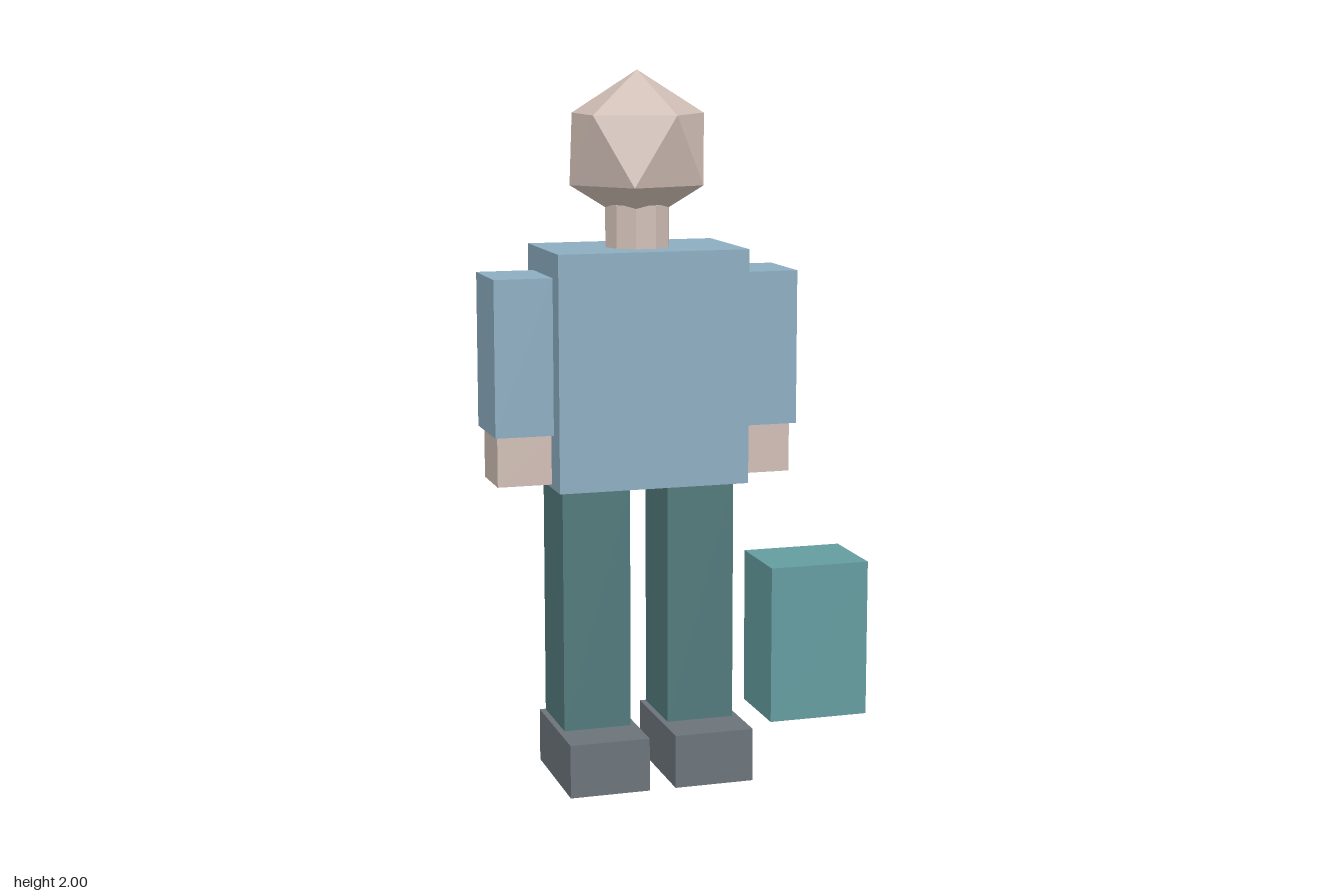
import * as THREE from 'three';

const CX = -0.113, CZ = 0.083; // body axis

const material = (color) => new THREE.MeshStandardMaterial({ color, flatShading: true });
const shirt = material(0x8cadc1);
const skin = material(0xd0beb5);
const trousers = material(0x52797b);
const shoes = material(0x6b737a);
const packCloth = material(0xd5a985);
const caseShell = material(0x649c9f);

export function createModel() {
  const model = new THREE.Group();
  model.name = 'traveller';

  const add = (name, geometry, mat, x, y, z) => {
    const mesh = new THREE.Mesh(geometry, mat);
    mesh.name = name;
    mesh.position.set(x, y, z);
    model.add(mesh);
    return mesh;
  };
  // Box given by its extents along each axis
  const box = (name, mat, [x0, x1], [y0, y1], [z0, z1]) =>
    add(name, new THREE.BoxGeometry(x1 - x0, y1 - y0, z1 - z0), mat,
      (x0 + x1) / 2, (y0 + y1) / 2, (z0 + z1) / 2);
  // Mirrored pair of boxes, x measured outward from the body axis
  const pair = (name, mat, [a, b], ys, zs) => {
    box(`left${name}`, mat, [CX + a, CX + b], ys, zs);
    box(`right${name}`, mat, [CX - b, CX - a], ys, zs);
  };

  // Head: icosahedron standing on one corner
  const head = new THREE.IcosahedronGeometry(0.218, 0);
  head.rotateZ(-Math.atan(2 / (1 + Math.sqrt(5))));
  add('head', head, skin, CX, 1.782, CZ);

  // Neck: ten-sided, corners on the x axis
  const neck = new THREE.CylinderGeometry(0.093, 0.093, 0.13, 10);
  neck.rotateY(Math.PI / 10);
  add('neck', neck, skin, CX, 1.565, CZ);

  // Body and limbs
  box('torso', shirt, [-0.386, 0.16], [0.85, 1.51], [-0.093, 0.257]);
  pair('Arm', shirt, [0.273, 0.438], [1.003, 1.44], [-0.028, 0.193]);
  pair('Hand', skin, [0.273, 0.427], [0.86, 1.003], [0.0, 0.165]);
  pair('Leg', trousers, [0.055, 0.25], [0.152, 0.85], [-0.026, 0.194]);
  pair('Shoe', shoes, [0.038, 0.267], [0, 0.152], [-0.03, 0.328]);

  // Luggage
  box('backpack', packCloth, [-0.321, 0.094], [0.883, 1.407], [-0.33, -0.093]);
  box('suitcase', caseShell, [0.253, 0.549], [0.125, 0.583], [-0.04, 0.202]);

  return model;
}
